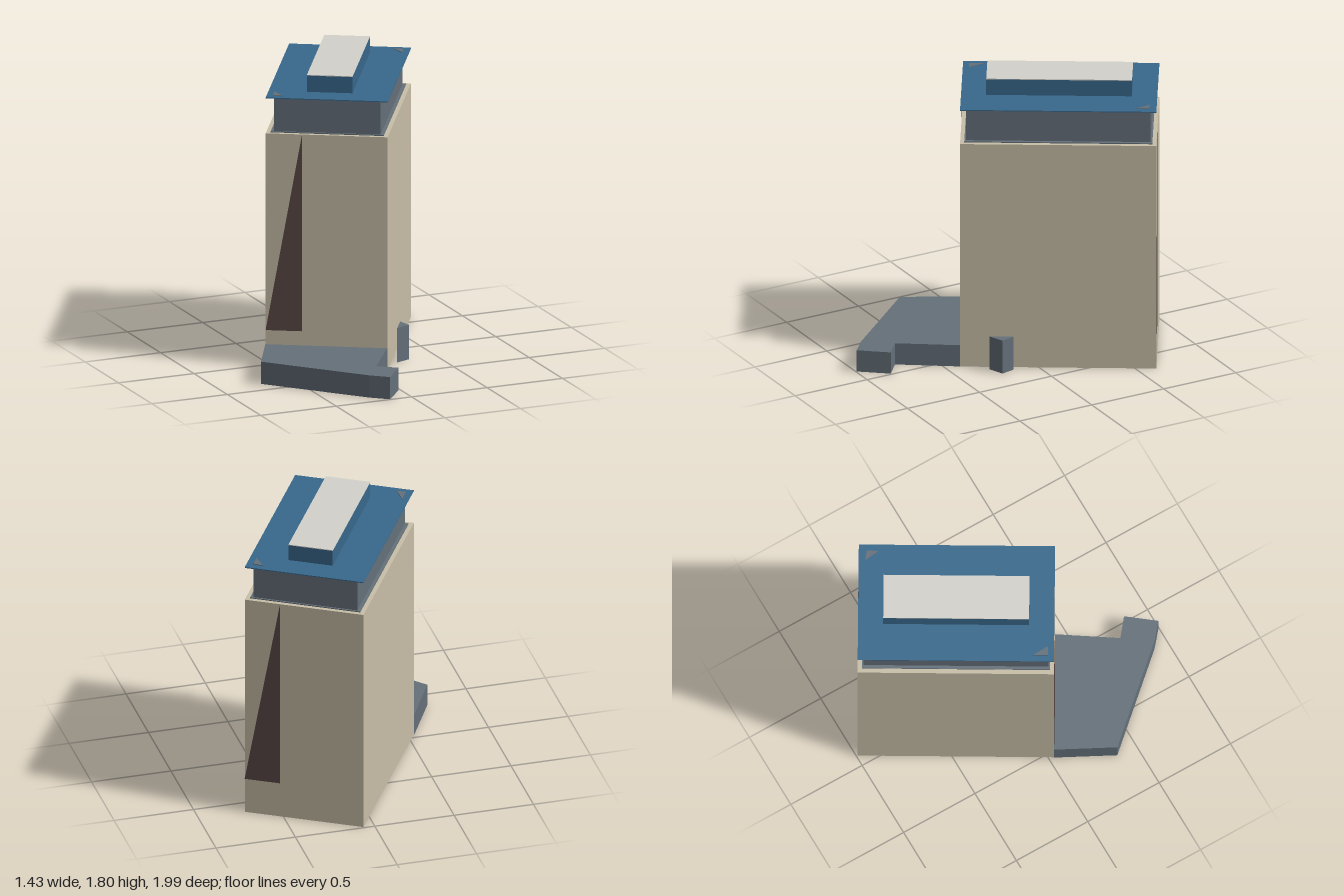
import * as THREE from 'three';

const mat = (name, color) => {
  const m = new THREE.MeshStandardMaterial({ color });
  m.name = name;
  return m;
};

export function createModel() {
  const stone = mat('beige stone', 0xc8bfa8);
  const grey = mat('slate grey', 0x65707a);
  const blue = mat('roof blue', 0x38688c);
  const brown = mat('dark brown', 0x5a4946);
  const pale = mat('pale roof', 0xd4d2cc);

  const model = new THREE.Group();
  model.name = 'towerBlock';

  // Everything in the tower shares one turned frame
  const tower = new THREE.Group();
  tower.name = 'tower';
  tower.position.set(0.085, 0, -0.29);
  tower.rotation.y = -0.536;
  model.add(tower);

  const block = (name, material, w, d, y0, y1) => {
    const mesh = new THREE.Mesh(new THREE.BoxGeometry(w, y1 - y0, d), material);
    mesh.name = name;
    mesh.position.y = (y0 + y1) / 2;
    tower.add(mesh);
  };
  block('shaft', stone, 0.744, 1.19, 0, 1.47);
  block('ledge', grey, 0.69, 1.14, 1.47, 1.476);
  block('upperStorey', grey, 0.65, 1.12, 1.476, 1.69);
  block('roofPlate', blue, 0.744, 1.19, 1.69, 1.696);
  block('penthouse', blue, 0.278, 0.884, 1.696, 1.798);
  block('penthouseRoof', pale, 0.278, 0.884, 1.798, 1.803);

  // Tall triangular panel on each end wall
  const extrude = (points, depth) => new THREE.ExtrudeGeometry(
    new THREE.Shape(points.map(([x, y]) => new THREE.Vector2(x, y))),
    { depth, bevelEnabled: false });
  const panel = extrude([[-0.372, 0.23], [-0.151, 0.23], [-0.151, 1.465]], 0.003);
  panel.translate(0, 0, 0.595);
  ['front', 'back'].forEach((side, i) => {
    const mesh = new THREE.Mesh(panel, brown);
    mesh.name = side + 'Panel';
    mesh.rotation.y = i * Math.PI;
    tower.add(mesh);
  });

  // Upright prisms from plan outlines given as [x, z]
  const prism = (name, outline, y0, y1) => {
    const g = extrude(outline.map(([x, z]) => [x, -z]), y1 - y0);
    g.rotateX(-Math.PI / 2).translate(0, y0, 0);
    const mesh = new THREE.Mesh(g, grey);
    mesh.name = name;
    model.add(mesh);
  };
  prism('annex', [[-0.54, 0.03], [-0.72, 0.37], [-0.24, 0.91], [-0.14, 0.995],
    [-0.01, 0.83], [-0.12, 0.74], [0.1, 0.41]], 0, 0.14);
  prism('entrancePost', [[0.3, 0.15], [0.32, 0.24], [0.225, 0.275]], 0, 0.217);

  // Small roof markers at two opposite corners
  prism('roofMarkerBack', [[0.6, -0.63], [0.65, -0.59], [0.61, -0.53]], 1.696, 1.7);
  prism('roofMarkerFront', [[-0.44, -0.06], [-0.485, 0.02], [-0.435, 0.05]], 1.696, 1.7);

  return model;
}
